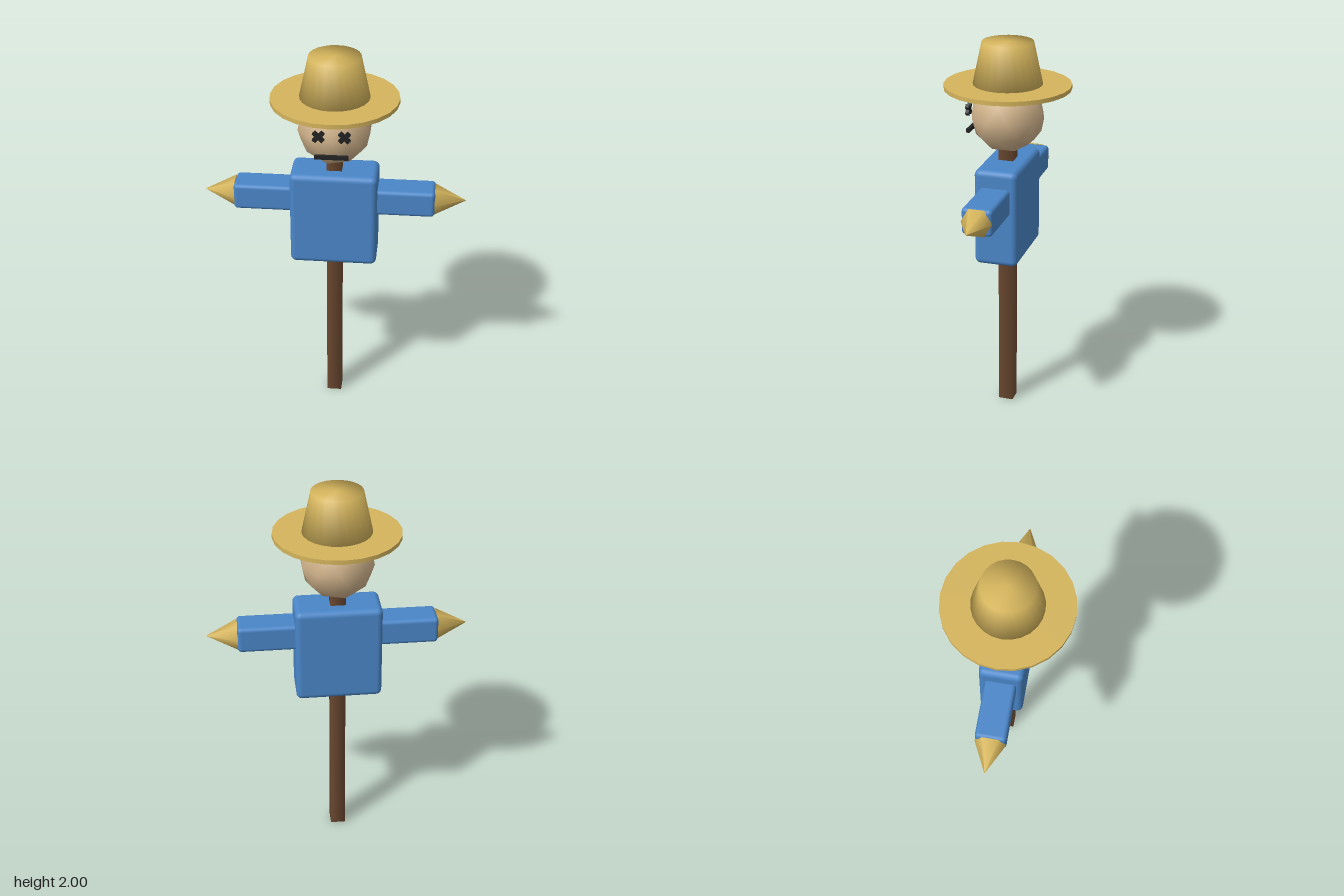
import * as THREE from 'three';
import { RoundedBoxGeometry } from 'three/addons/geometries/RoundedBoxGeometry.js';

const paint = (name, color) => {
  const m = new THREE.MeshStandardMaterial({ color });
  m.name = name;
  return m;
};

export function createModel() {
  const model = new THREE.Group();
  model.name = 'scarecrow';
  const wood = paint('brown wood', 0x6b4830);
  const cloth = paint('blue cloth', 0x4a86c8);
  const sack = paint('tan sackcloth', 0xd2b48c);
  const straw = paint('yellow straw', 0xd4b45c);
  const dark = paint('black stitching', 0x222222);

  const add = (name, geometry, material, x = 0, y = 0, z = 0, parent = model) => {
    const mesh = new THREE.Mesh(geometry, material);
    mesh.name = name;
    mesh.position.set(x, y, z);
    parent.add(mesh);
    return mesh;
  };

  // square post with soft shading, running up into the head
  const post = new THREE.CylinderGeometry(0.055, 0.055, 1.5, 4);
  post.rotateY(Math.PI / 4);
  add('post', post, wood, 0, 0.75, 0);

  // shirt body, sleeves and straw hands
  add('torso', new RoundedBoxGeometry(0.445, 0.51, 0.225, 3, 0.03), cloth, 0, 1.135, 0);
  for (const side of [1, -1]) {
    const label = side > 0 ? 'left' : 'right';
    add(label + 'Sleeve', new RoundedBoxGeometry(0.36, 0.138, 0.157, 3, 0.02), cloth, side * 0.334, 1.233, 0);
    const hand = new THREE.ConeGeometry(0.08, 0.16, 6);
    hand.rotateZ(-side * Math.PI / 2);
    add(label + 'Hand', hand, straw, side * 0.592, 1.233, 0);
  }

  // faceted round head, turned so one corner points straight up
  const head = new THREE.IcosahedronGeometry(0.19, 1);
  head.rotateZ(-0.5536);
  add('head', head, sack, 0, 1.622, 0);

  // crossed eyes and a straight mouth
  for (const side of [1, -1]) {
    const eye = new THREE.Group();
    eye.name = side > 0 ? 'leftEye' : 'rightEye';
    eye.position.set(side * 0.064, 1.654, 0.187);
    for (const turn of [1, -1]) {
      const bar = add('eyeStitch', new THREE.BoxGeometry(0.065, 0.021, 0.018), dark, 0, 0, 0, eye);
      bar.rotation.z = turn * Math.PI / 4;
    }
    model.add(eye);
  }
  add('mouth', new THREE.BoxGeometry(0.167, 0.019, 0.018), dark, 0, 1.544, 0.187);

  // hat: flat brim and a softly shaded tapered crown
  add('hatBrim', new THREE.CylinderGeometry(0.322, 0.322, 0.022, 24), straw, 0, 1.775, 0);
  const profile = [[0, 1.778], [0.178, 1.778], [0.13, 2], [0, 2]].map(([r, y]) => new THREE.Vector2(r, y));
  add('hatCrown', new THREE.LatheGeometry(profile, 24), straw);

  return model;
}
